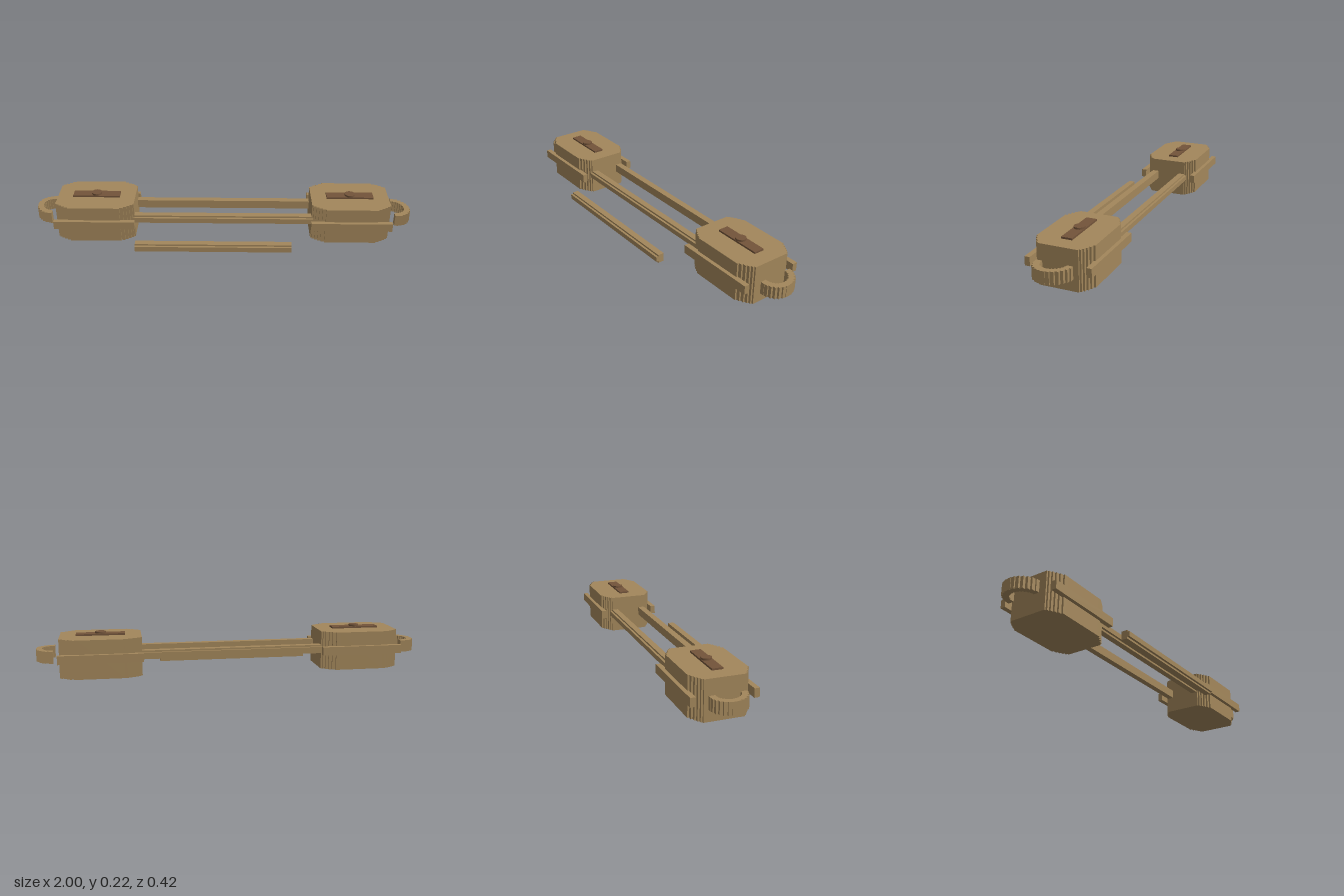
import * as THREE from 'three';

const wood = new THREE.MeshStandardMaterial({ color: 0xa3875b });
wood.name = 'tan wood';
const brown = new THREE.MeshStandardMaterial({ color: 0x73543a });
brown.name = 'dark brown';

const MID_Z = -0.045; // centre line of the two blocks

function add(parent, name, geometry, material, x = 0, y = 0, z = 0) {
  const mesh = new THREE.Mesh(geometry, material);
  mesh.name = name;
  mesh.position.set(x, y, z);
  parent.add(mesh);
  return mesh;
}

// Box given by its limits on each axis
function box(parent, name, material, [x0, x1], [y0, y1], [z0, z1]) {
  return add(parent, name, new THREE.BoxGeometry(x1 - x0, y1 - y0, z1 - z0), material,
    (x0 + x1) / 2, (y0 + y1) / 2, (z0 + z1) / 2);
}

// Extrudes a plan outline (x, z) upwards
function slab(points, height) {
  const shape = new THREE.Shape(points.map(([x, z]) => new THREE.Vector2(x, -z)));
  const geometry = new THREE.ExtrudeGeometry(shape, { depth: height, bevelEnabled: false });
  return geometry.rotateX(-Math.PI / 2);
}

// Turns a smooth run of points into a staircase
function stairs(points) {
  const out = [points[0]];
  for (let i = 1; i < points.length; i++) {
    out.push([points[i - 1][0], points[i][1]], points[i]);
  }
  return out;
}

// Block plan with stepped, slightly bulging corners
function blockOutline(hx, hz, cx, cz, steps) {
  const corner = [];
  for (let i = 0; i <= steps; i++) {
    const t = i / steps;
    corner.push([hx - cx * Math.pow(t, 1.35), hz - cz + cz * t]);
  }
  const a = stairs(corner);
  const flip = (sx, sz) => a.map(([x, z]) => [x * sx, z * sz]);
  return [...a, ...flip(-1, 1).reverse(), ...flip(-1, -1), ...flip(1, -1).reverse()];
}

// Half ring plan with stepped edges
function handleOutline(outer, inner, steps) {
  const arc = (r) => {
    const pts = [];
    for (let i = 0; i <= steps; i++) {
      const a = -Math.PI / 2 + (Math.PI * i) / steps;
      pts.push([r * Math.cos(a), r * Math.sin(a)]);
    }
    return stairs(pts);
  };
  return [...arc(outer), ...arc(inner).reverse()];
}

// Square rod with a narrow tongue along one long side
function rod(parent, name, x, y0, z0, dir) {
  const group = new THREE.Group();
  group.name = name;
  const zs = (a, b) => [z0 + dir * a, z0 + dir * b].sort((p, q) => p - q);
  box(group, 'rodBody', wood, x, [y0, y0 + 0.045], zs(0, 0.033));
  box(group, 'rodTongue', wood, x, [y0 + 0.01, y0 + 0.036], zs(0.033, 0.045));
  parent.add(group);
}

function endBlock(side) {
  const group = new THREE.Group();
  group.name = side > 0 ? 'leftEnd' : 'rightEnd';
  const cx = side * 0.674;

  // Main block with a rail along its front and back
  add(group, 'block', slab(blockOutline(0.206, 0.144, 0.09, 0.055, 6), 0.199), wood, cx, 0, MID_Z);
  const railX = [cx - 0.212, cx + 0.212];
  box(group, 'frontRail', wood, railX, [0.083, 0.127], [0.092, 0.118]);
  box(group, 'backRail', wood, railX, [0.083, 0.127], [-0.208, -0.182]);

  // Curved handle beyond the outer end
  const handle = add(group, 'handle', slab(handleOutline(0.09, 0.06, 14), 0.061), wood,
    side * 0.91, 0.074, MID_Z);
  if (side < 0) handle.rotation.y = Math.PI;

  // Top plate and its round knob
  box(group, 'topPlate', brown, [cx - 0.124, cx + 0.124], [0.199, 0.208], [-0.072, -0.018]);
  add(group, 'knob', new THREE.CylinderGeometry(0.027, 0.027, 0.009, 12).toNonIndexed(), brown,
    cx, 0.2125, MID_Z);
  return group;
}

export function createModel() {
  const model = new THREE.Group();
  model.name = 'twinBlockFrame';
  model.add(endBlock(1), endBlock(-1));

  // Two rods joining the blocks, and one loose on the ground
  rod(model, 'frontRod', [-0.48, 0.48], 0.083, 0.016, 1);
  rod(model, 'backRod', [-0.48, 0.48], 0.083, -0.11, -1);
  rod(model, 'looseRod', [-0.455, 0.358], 0, 0.164, 1);
  return model;
}
